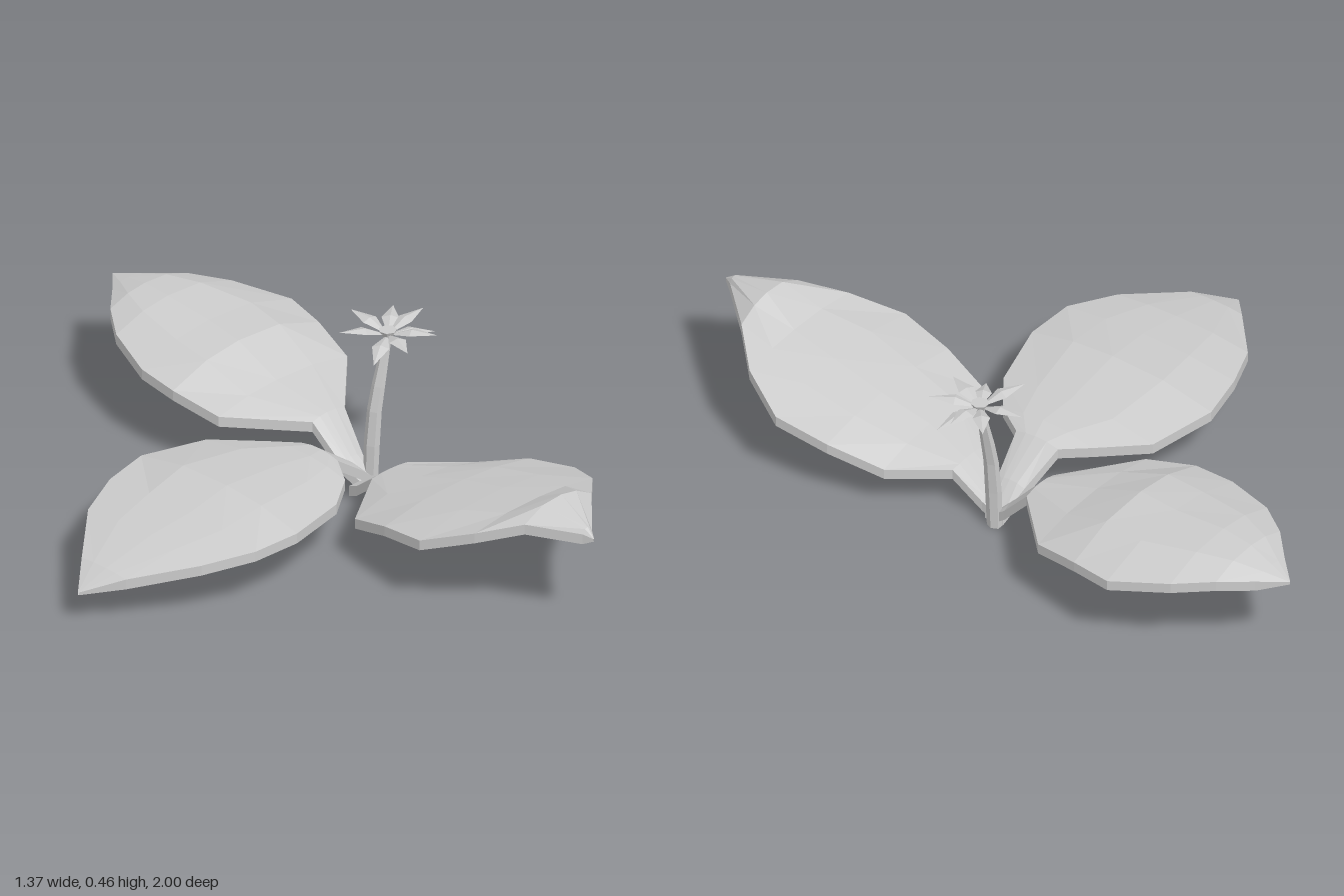
import * as THREE from 'three';

const material = new THREE.MeshStandardMaterial({ color: 0xcccccc, flatShading: true, side: THREE.DoubleSide });

// Skins a list of closed rings of [x, y, z] points and caps the first ring.
function loft(name, rings) {
  const pos = [];
  const tri = (a, b, c) => pos.push(...a, ...b, ...c);
  const n = rings[0].length;
  for (let i = 0; i < rings.length - 1; i++) {
    for (let j = 0; j < n; j++) {
      const k = (j + 1) % n;
      const a = rings[i][j], b = rings[i + 1][j], c = rings[i + 1][k], d = rings[i][k];
      tri(a, b, c);
      tri(a, c, d);
    }
  }
  for (let k = 1; k < n - 1; k++) tri(rings[0][0], rings[0][k], rings[0][k + 1]);
  const geo = new THREE.BufferGeometry();
  geo.setAttribute('position', new THREE.Float32BufferAttribute(pos, 3));
  geo.computeVertexNormals();
  const mesh = new THREE.Mesh(geo, material);
  mesh.name = name;
  return mesh;
}

// Domed leaf. Sections: [distance, edge a, edge b, middle height, edge height].
// place(s, u) turns distance along and across the leaf into [x, z].
function leaf(name, place, sections) {
  const rings = sections.map(([s, a, b, mid, edge], i) => {
    const t = i === sections.length - 1 ? 0.008 : 0.03;
    const top = [[0, edge], [0.27, mid - (mid - edge) * 0.15], [0.55, mid], [0.77, mid - (mid - edge) * 0.25], [1, edge]];
    const point = ([f, y], drop) => {
      const [x, z] = place(s, a + (b - a) * f);
      return [x, y - drop, z];
    };
    return [...top.map((p) => point(p, 0)), ...top.slice().reverse().map((p) => point(p, t))];
  });
  return loft(name, rings);
}

// Thin petal, folded along its midrib, pointing along +x
function petalGeometry() {
  const left = [[0, 0, 0], [0.07, 0.008, -0.024], [0.14, 0, 0], [0.07, 0.016, 0]];
  const pos = [];
  for (const m of [1, -1]) {
    const [root, side, tip, rib] = left.map(([x, y, z]) => [x, y, z * m]);
    const tris = [[root, rib, side], [rib, tip, side]];
    for (const [a, b, c] of tris) pos.push(...a, ...(m > 0 ? b : c), ...(m > 0 ? c : b));
  }
  const geo = new THREE.BufferGeometry();
  geo.setAttribute('position', new THREE.Float32BufferAttribute(pos, 3));
  geo.computeVertexNormals();
  return geo;
}

export function createModel() {
  const model = new THREE.Group();
  model.name = 'plant';

  // Three large leaves with their stalks
  model.add(leaf('rightLeaf', (s, u) => [-s, u], [
    [-0.40, -0.03, 0.03, 0.03, 0.03],
    [-0.33, -0.05, 0.04, 0.10, 0.09],
    [-0.22, -0.08, 0.06, 0.18, 0.17],
    [-0.16, -0.15, 0.15, 0.19, 0.17],
    [-0.05, -0.27, 0.23, 0.20, 0.17],
    [0.15, -0.315, 0.285, 0.22, 0.18],
    [0.30, -0.28, 0.28, 0.20, 0.18],
    [0.44, -0.22, 0.215, 0.18, 0.165],
    [0.60, -0.08, 0.09, 0.14, 0.135],
    [0.69, -0.002, 0.002, 0.095, 0.095],
  ]));
  model.add(leaf('frontLeaf', (s, u) => [u, s], [
    [0.0, 0.32, 0.40, 0.03, 0.03],
    [0.04, 0.31, 0.40, 0.05, 0.05],
    [0.13, 0.28, 0.41, 0.125, 0.12],
    [0.27, 0.08, 0.53, 0.165, 0.13],
    [0.42, 0.045, 0.585, 0.21, 0.18],
    [0.58, 0.02, 0.60, 0.25, 0.21],
    [0.72, 0.09, 0.53, 0.28, 0.26],
    [0.83, 0.17, 0.42, 0.34, 0.30],
    [0.97, 0.25, 0.285, 0.31, 0.295],
    [1.0, 0.262, 0.264, 0.288, 0.288],
  ]));
  model.add(leaf('backLeaf', (s, u) => [-u, -s], [
    [0.0, -0.41, -0.36, 0.03, 0.03],
    [0.05, -0.42, -0.34, 0.08, 0.07],
    [0.14, -0.44, -0.32, 0.18, 0.17],
    [0.31, -0.615, -0.135, 0.22, 0.19],
    [0.46, -0.655, -0.11, 0.28, 0.22],
    [0.59, -0.68, -0.12, 0.285, 0.23],
    [0.75, -0.61, -0.18, 0.295, 0.25],
    [0.85, -0.54, -0.255, 0.29, 0.26],
    [0.93, -0.47, -0.34, 0.27, 0.255],
    [1.0, -0.411, -0.409, 0.25, 0.25],
  ]));

  // Bent, tapering flower stem: [x, y, radius]
  const stem = [[0.41, 0, 0.022], [0.415, 0.12, 0.024], [0.425, 0.22, 0.022], [0.44, 0.29, 0.02], [0.475, 0.43, 0.012]];
  model.add(loft('flowerStem', stem.map(([x, y, r]) =>
    Array.from({ length: 6 }, (_, i) => {
      const a = (i / 6) * Math.PI * 2;
      return [x + Math.cos(a) * r * 0.8, y, -0.01 - Math.sin(a) * r];
    }))));

  // Star flower: each petal has a heading and a tilt
  const flower = new THREE.Group();
  flower.name = 'flower';
  flower.position.set(0.475, 0.43, -0.01);
  const geo = petalGeometry();
  const petals = [[92, 0.18], [40, 0.1], [2, 0.2], [-62, 0.15], [-112, 0.1], [-150, -0.15], [155, 0.22], [-20, -0.15]];
  petals.forEach(([deg, tilt]) => {
    const petal = new THREE.Mesh(geo, material);
    petal.name = 'petal';
    petal.rotation.set(0, deg * Math.PI / 180, tilt, 'YXZ');
    flower.add(petal);
  });
  const heart = new THREE.Mesh(new THREE.CylinderGeometry(0.025, 0.012, 0.025, 7), material);
  heart.name = 'flowerHeart';
  heart.position.y = 0.003;
  flower.add(heart);
  model.add(flower);

  return model;
}
